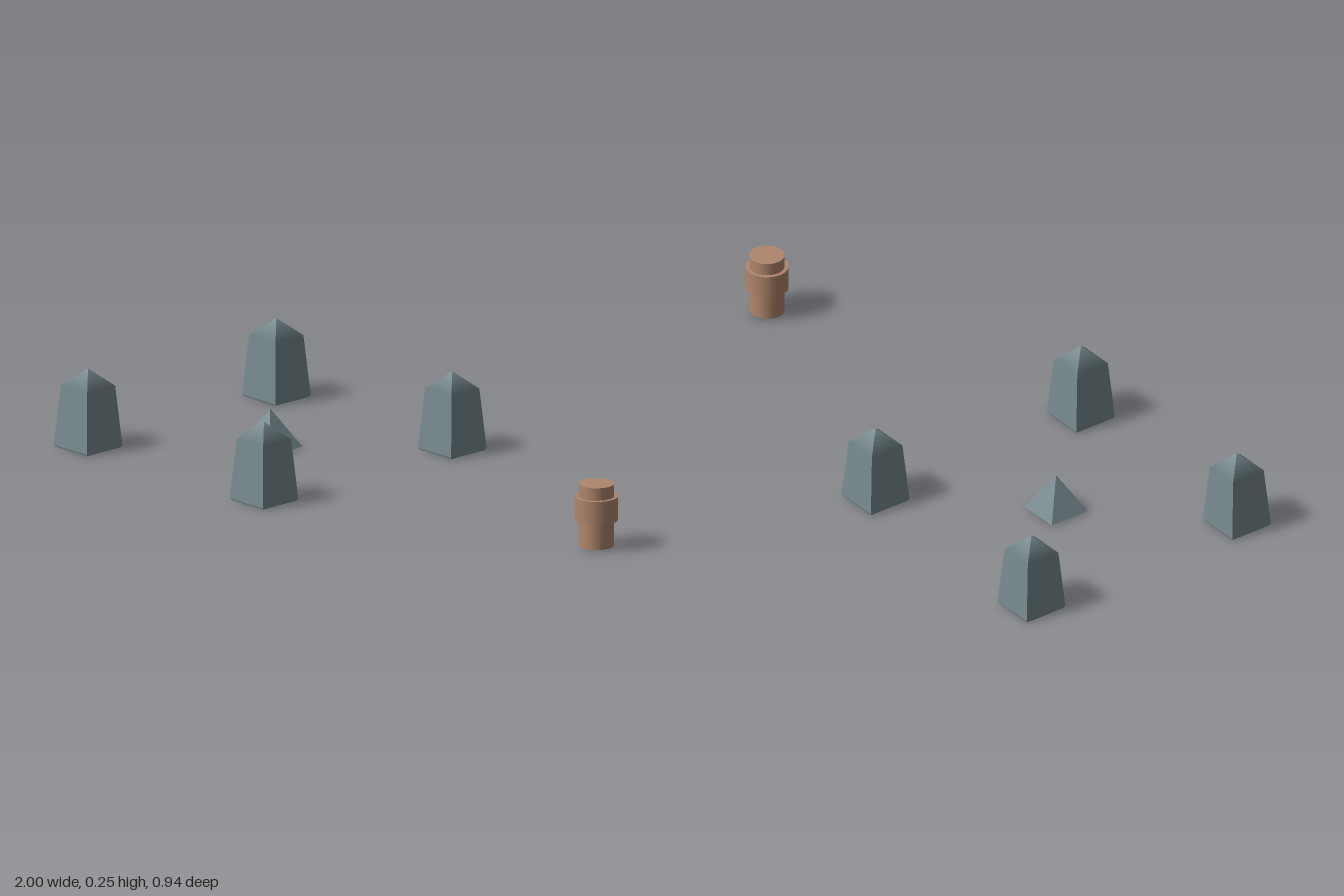
import * as THREE from 'three';

// Square-plan solid from rings of [half width, y, outward tilt of the normal above, below it]
function squareSolid(bands) {
  const pos = [], nor = [];
  const up = new THREE.Vector3(0, 1, 0);
  const add = (p, n, turn) => {
    const v = new THREE.Vector3(...p).applyAxisAngle(up, turn);
    const m = new THREE.Vector3(...n).normalize().applyAxisAngle(up, turn);
    pos.push(v.x, v.y, v.z);
    nor.push(m.x, m.y, m.z);
  };
  for (let side = 0; side < 4; side++) {
    const turn = side * Math.PI / 2;
    for (const { a, b, na, nb } of bands) {
      const flat = [0, a[0] - b[0], b[1] - a[1]];
      const n0 = na || flat, n1 = nb || flat;
      const A = [-a[0], a[1], a[0]], B = [a[0], a[1], a[0]];
      const C = [b[0], b[1], b[0]], D = [-b[0], b[1], b[0]];
      add(A, n0, turn); add(B, n0, turn); add(C, n1, turn);
      if (b[0] > 0) { add(A, n0, turn); add(C, n1, turn); add(D, n1, turn); }
    }
    // quarter of the underside
    const [r, y] = bands[0].a, down = [0, -1, 0];
    add([0, y, 0], down, turn); add([r, y, r], down, turn); add([-r, y, r], down, turn);
  }
  const g = new THREE.BufferGeometry();
  g.setAttribute('position', new THREE.Float32BufferAttribute(pos, 3));
  g.setAttribute('normal', new THREE.Float32BufferAttribute(nor, 3));
  return g;
}

export function createModel() {
  const model = new THREE.Group();
  model.name = 'markerSet';
  const slate = new THREE.MeshStandardMaterial({ name: 'slate', color: 0x778a8f });
  const clay = new THREE.MeshStandardMaterial({ name: 'clay', color: 0xb0866c });

  const addMesh = (name, geometry, material, x, y, z, parent = model) => {
    const mesh = new THREE.Mesh(geometry, material);
    mesh.name = name;
    mesh.position.set(x, y, z);
    parent.add(mesh);
  };

  // Four tapered pillars: small foot bevel, leaning sides, cap softened at the shoulder
  const foot = [0.071, 0], base = [0.0745, 0.008], shoulder = [0.059, 0.197], apex = [0, 0.252];
  const sideNormal = [0, base[0] - shoulder[0], shoulder[1] - base[1]];
  const pillar = squareSolid([
    { a: foot, b: base, nb: sideNormal },
    { a: base, b: shoulder },
    { a: shoulder, b: apex, na: sideNormal },
  ]);
  for (const x of [-0.926, -0.137])
    for (const z of [-0.397, 0.397]) addMesh('pillar', pillar, slate, x, 0, z);

  // Small pyramid between the pillars
  addMesh('pyramid', squareSolid([{ a: [0.07, 0.007], b: [0, 0.128] }]), slate, -0.531, 0, 0);

  // Round post with a wider collar
  const post = new THREE.Group();
  post.name = 'post';
  post.position.set(0.932, 0, 0);
  model.add(post);
  addMesh('postCore', new THREE.CylinderGeometry(0.0545, 0.0545, 0.198, 32), clay, 0, 0.106, 0, post);
  addMesh('postCollar', new THREE.CylinderGeometry(0.067, 0.067, 0.075, 32), clay, 0, 0.1275, 0, post);

  return model;
}
